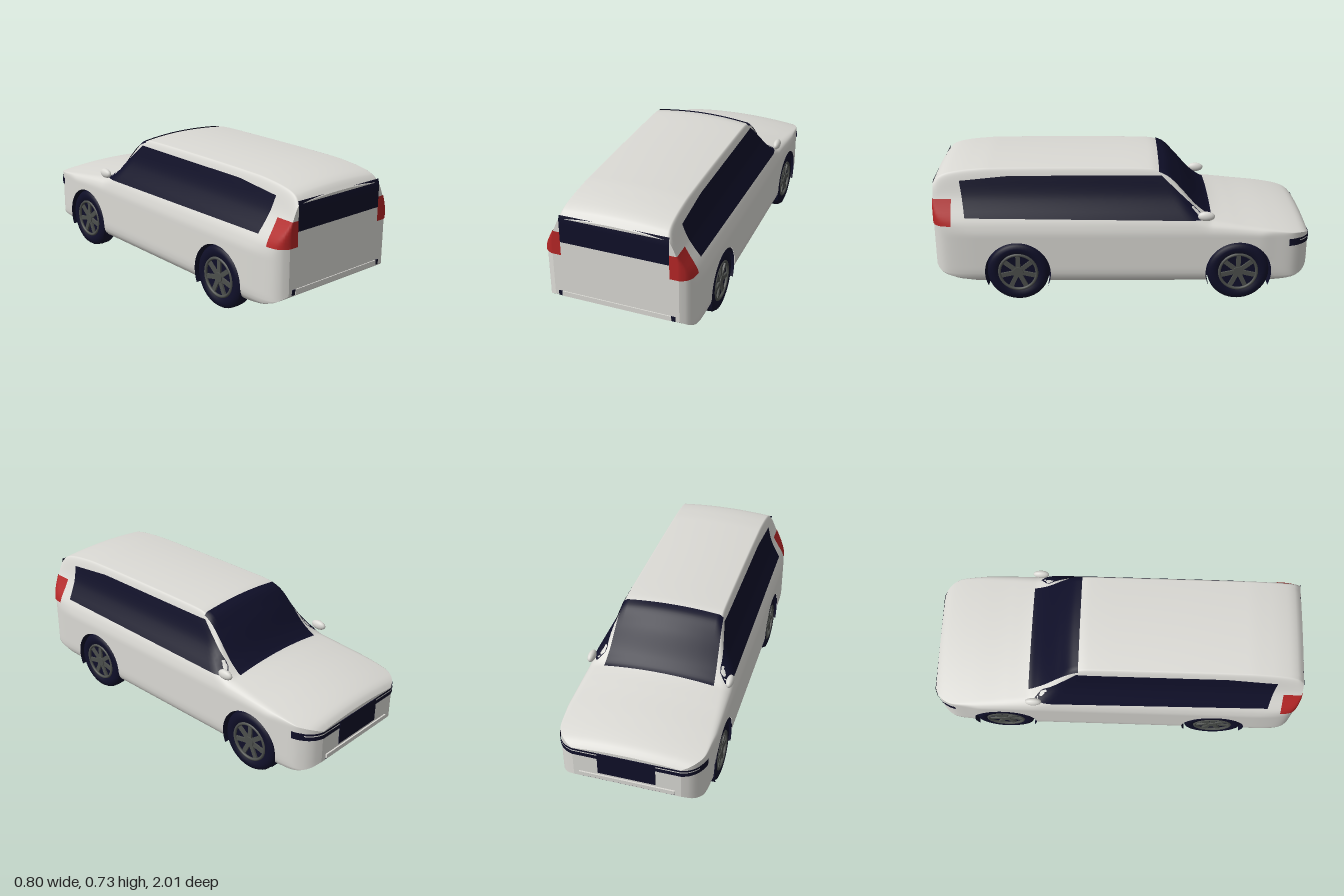
import * as THREE from 'three';

const mat = (name, color) => Object.assign(new THREE.MeshStandardMaterial({ color, side: THREE.DoubleSide }), { name });
const paint = mat('body paint', 0xdad9d4);
const dark = mat('dark glass and rubber', 0x0f0f28);
const red = mat('tail light red', 0xb42626);
const grey = mat('wheel grey', 0x4c4f4c);

const { lerp, clamp } = THREE.MathUtils;
const smin = (a, b, k) => Math.min(a, b) - Math.max(k - Math.abs(a - b), 0) ** 2 / (4 * k);

// Smooth monotone curve through [position, value] pairs
function curve(pts) {
  const d = pts.slice(1).map((p, i) => (p[1] - pts[i][1]) / (p[0] - pts[i][0]));
  const m = pts.map((p, i) => {
    const a = d[i - 1] ?? d[0], b = d[i] ?? d[d.length - 1];
    return a * b <= 0 ? 0 : 2 * a * b / (a + b);
  });
  return (q) => {
    let i = 0;
    while (i < pts.length - 2 && q > pts[i + 1][0]) i++;
    const h = pts[i + 1][0] - pts[i][0], t = clamp((q - pts[i][0]) / h, 0, 1), s = 1 - t;
    return pts[i][1] * s * s * (1 + 2 * t) + pts[i + 1][1] * t * t * (3 - 2 * t) + h * t * s * (m[i] * s - m[i + 1] * t);
  };
}

// Roof line, underside line, plan width and flank, the bonnet pointing to -z
const roof = curve([[-1, 0.37], [-0.985, 0.388], [-0.95, 0.405], [-0.8, 0.433], [-0.6, 0.457], [-0.47, 0.478],
  [-0.42, 0.515], [-0.3, 0.65], [-0.22, 0.713], [-0.15, 0.727], [0, 0.73], [0.4, 0.732], [0.7, 0.73],
  [0.82, 0.722], [0.92, 0.707], [0.97, 0.688], [1, 0.655]]);
const under = curve([[-1, 0.175], [-0.97, 0.15], [-0.9, 0.125], [-0.8, 0.105], [-0.68, 0.07],
  [0.6, 0.07], [0.8, 0.11], [0.9, 0.14], [0.97, 0.17], [1, 0.195]]);
const plan = curve([[-1, 0.28], [-0.985, 0.315], [-0.95, 0.352], [-0.9, 0.377], [-0.8, 0.395], [-0.6, 0.45],
  [0.6, 0.45], [0.8, 0.415], [0.9, 0.398], [0.95, 0.383], [0.985, 0.358], [1, 0.33]]);
const flank = curve([[0.19, 0.4], [0.38, 0.4], [0.44, 0.388], [0.48, 0.368], [0.52, 0.343],
  [0.58, 0.311], [0.66, 0.287], [0.85, 0.25]]);

// Half section before trimming: floor, sill, flank, top
const base = [[0, 0.09], [0.1, 0.09], [0.2, 0.09], [0.28, 0.09], [0.3, 0.09], [0.325, 0.092], [0.35, 0.099],
  [0.37, 0.11], [0.385, 0.125], [0.394, 0.143], [0.399, 0.165]];
for (let i = 0; i <= 44; i++) base.push([flank(0.19 + i * 0.015), 0.19 + i * 0.015]);
for (let i = 9; i >= 0; i--) base.push([0.025 * i, 0.85]);

function section(z) {
  const crown = 0.015 + 0.025 * Math.exp(-(((z + 0.33) / 0.1) ** 2));
  return base.map(([x0, y0]) => {
    const x = x0 === 0 ? 0 : x0 > 0.2 ? smin(x0, plan(z), 0.02) : x0;
    const y = smin(y0, roof(z) - crown * (x / 0.28) ** 2, 0.07);
    return [x, -smin(-y, -under(z), 0.015)];
  });
}

// Surface look-ups: half width at a height, and height at a half width
function look(pts, key, q) {
  for (let i = 1; i < pts.length; i++) {
    const a = pts[i - 1], b = pts[i];
    if (b[key] >= q) return lerp(a[1 - key], b[1 - key], clamp((q - a[key]) / (b[key] - a[key] || 1), 0, 1));
  }
  return pts[pts.length - 1][1 - key];
}
const widthAt = (y, z) => look(section(z).slice(4), 1, y);
const heightAt = (x, z) => look(section(z).reverse(), 0, x);

// Indexed surface from a grid rule
function grid(nu, nv, rule) {
  const pos = [], idx = [];
  for (let i = 0; i <= nu; i++) for (let j = 0; j <= nv; j++) {
    pos.push(...rule(i / nu, j / nv));
    if (i < nu && j < nv) {
      const a = i * (nv + 1) + j, d = a + nv + 1;
      idx.push(a, a + 1, d + 1, a, d + 1, d);
    }
  }
  return finish(pos, idx);
}
function finish(pos, idx) {
  const g = new THREE.BufferGeometry();
  g.setAttribute('position', new THREE.Float32BufferAttribute(pos, 3));
  g.setIndex(idx);
  g.computeVertexNormals();
  return g;
}

const axles = [0.56, -0.62], axleY = 0.167, archR = 0.176, wellX = 0.28;

// Lofted shell with the wheel arches cut out
function shell() {
  const zs = [], pos = [], idx = [];
  for (let i = 0; i <= 140; i++) {
    const t = i / 70 - 1;
    zs.push(t + 0.1 * Math.sin(Math.PI * t) / Math.PI);
  }
  const n = base.length * 2 - 2;
  for (const z of zs) {
    const half = section(z);
    const ring = [...half, ...half.slice(1, -1).reverse().map(([x, y]) => [-x, y])];
    for (let [x, y] of ring) {
      let pz = z;
      for (const c of axles) {
        const d = Math.hypot(z - c, y - axleY);
        if (Math.abs(x) >= wellX - 0.001 && y < 0.4 && Math.abs(d - archR) < 0.0105) {
          pz = c + (z - c) * archR / d;
          y = axleY + (y - axleY) * archR / d;
        }
      }
      pos.push(x, y, pz);
    }
  }
  const addFace = (...f) => {
    const mean = (k) => f.reduce((s, v) => s + pos[v * 3 + k], 0) / 3;
    const cut = Math.abs(mean(0)) > wellX && axles.some((c) => Math.hypot(mean(2) - c, mean(1) - axleY) < archR);
    if (!cut) idx.push(...f);
  };
  for (let i = 0; i < zs.length - 1; i++) for (let j = 0; j < n; j++) {
    const a = i * n + j, b = i * n + (j + 1) % n;
    addFace(a, b, b + n);
    addFace(a, b + n, a + n);
  }
  return finish(pos, idx);
}

export function createModel() {
  const model = new THREE.Group();
  model.name = 'car';
  const add = (name, geo, material, x = 0, y = 0, z = 0, parent = model) => {
    const m = new THREE.Mesh(geo, material);
    m.name = name;
    m.position.set(x, y, z);
    parent.add(m);
    return m;
  };
  const box = (name, material, x, y, z, w, h, d) => add(name, new THREE.BoxGeometry(w, h, d), material, x, y, z);

  // Body and flat end panels
  add('bodyShell', shell(), paint);
  for (const end of [-1, 1]) {
    const half = section(end);
    const outline = [...half, ...half.slice(1, -1).reverse().map(([x, y]) => [-x, y])];
    const cap = new THREE.ShapeGeometry(new THREE.Shape(outline.map(([x, y]) => new THREE.Vector2(x * end, y))));
    if (end < 0) cap.rotateY(Math.PI);
    add(end < 0 ? 'nosePanel' : 'tailPanel', cap, paint, 0, 0, end);
  }

  // Windscreen and rear window
  add('windscreen', grid(28, 32, (u, v) => {
    const z = lerp(-0.47, -0.19, u), x = lerp(-1, 1, v) * lerp(0.3, 0.275, u);
    return [x, heightAt(Math.abs(x), z) + 0.005, z - 0.003];
  }), dark);
  add('rearWindow', grid(1, 6, (u, v) => {
    const y = lerp(0.51, 0.658, v);
    return [lerp(0.283, -0.283, u), y, 1.003 - Math.max(0, y - 0.63) * 0.25];
  }), dark);

  // Panels that wrap from an end face round onto the flank
  const wrap = (side, x0, y0, y1, zEnd) => grid(24, 8, (u, v) => {
    const y = lerp(y0, y1, v), end = Math.sign(zEnd);
    const z = u < 0.3 ? end : lerp(end, zEnd, (u - 0.3) / 0.7);
    const edge = widthAt(y, z) + 0.004;
    return [side * (u < 0.3 ? lerp(x0, edge, u / 0.3) : edge), y, z + end * 0.003];
  });

  for (const side of [1, -1]) {
    const label = side > 0 ? 'left' : 'right';
    add(label + 'SideWindow', grid(50, 12, (u, v) => {
      const z = lerp(lerp(0.83, 0.86, v), lerp(-0.44, -0.205, v), u);
      const y = lerp(lerp(0.475, 0.46, u), 0.655 + 0.025 * Math.min(1, 4 * u), v);
      return [side * (widthAt(y, z) + 0.004), y, z];
    }), dark);
    add(label + 'TailLight', wrap(side, 0.283, 0.435, 0.565, 0.9), red);
    add(label + 'HeadlightLower', wrap(side, 0.15, 0.316, 0.338, -0.885), dark);
    add(label + 'HeadlightUpper', wrap(side, 0.15, 0.344, 0.355, -0.885), dark);
    add(label + 'HeadlightEnd', grid(6, 2, (u, v) => {
      const y = lerp(0.316, 0.355, v), z = lerp(-0.885, -0.945, u);
      return [side * (widthAt(y, z) + 0.004), y, z];
    }), dark);
    add(label + 'Mirror', new THREE.SphereGeometry(1, 20, 14), paint, side * 0.378, 0.485, -0.44).scale.set(0.02, 0.026, 0.045);
    box(label + 'RearBumperInset', dark, side * 0.299, 0.209, 1, 0.022, 0.027, 0.006);
  }

  // Grille and bumper bars
  box('grille', dark, 0, 0.287, -1, 0.3, 0.13, 0.008);
  box('frontBumperBar', paint, 0, 0.198, -1, 0.5, 0.022, 0.016);
  box('frontBumperGap', dark, 0, 0.184, -1, 0.5, 0.006, 0.006);
  box('rearBumperBar', paint, 0, 0.209, 1, 0.58, 0.027, 0.01);

  // Wheels and wheel wells, built facing +x
  const V = (r, y) => new THREE.Vector2(r, y);
  const tyreGeo = new THREE.LatheGeometry([V(0.02, -0.05), V(0.135, -0.051), V(0.155, -0.045), V(0.165, -0.03),
    V(0.167, 0), V(0.165, 0.03), V(0.155, 0.045), V(0.135, 0.051), V(0.11, 0.049), V(0.104, 0.036), V(0, 0.036)], 48).rotateZ(-Math.PI / 2);
  const rimGeo = new THREE.TorusGeometry(0.1, 0.008, 8, 40).rotateY(Math.PI / 2);
  const spokeGeo = new THREE.BoxGeometry(0.012, 0.085, 0.024).translate(0, 0.056, 0);
  const hubGeo = new THREE.CylinderGeometry(0.027, 0.03, 0.016, 20).rotateZ(-Math.PI / 2);
  const dip = 0.44, sweep = Math.PI + 2 * dip;
  const wellGeo = grid(36, 1, (u, v) => {
    const a = -dip + sweep * u;
    return [lerp(-0.062, 0.056, v), archR * Math.sin(a), archR * Math.cos(a)];
  });
  const wellWall = new THREE.CircleGeometry(archR, 36, -dip, sweep).rotateY(Math.PI / 2);

  for (const side of [1, -1]) axles.forEach((z, k) => {
    const wheel = new THREE.Group();
    wheel.name = (side > 0 ? 'left' : 'right') + (k ? 'Bonnet' : 'Tail') + 'Wheel';
    wheel.position.set(side * 0.342, axleY, z);
    if (side < 0) wheel.rotation.y = Math.PI;
    model.add(wheel);
    add('tyre', tyreGeo, dark, 0, 0, 0, wheel);
    add('rim', rimGeo, grey, 0.045, 0, 0, wheel);
    add('hub', hubGeo, grey, 0.042, 0, 0, wheel);
    for (let i = 0; i < 7; i++) add('spoke', spokeGeo, grey, 0.04, 0, 0, wheel).rotation.x = i * Math.PI * 2 / 7;
    add('wheelWell', wellGeo, dark, 0, 0, 0, wheel);
    add('wheelWellWall', wellWall, dark, -0.06, 0, 0, wheel);
  });
  return model;
}
